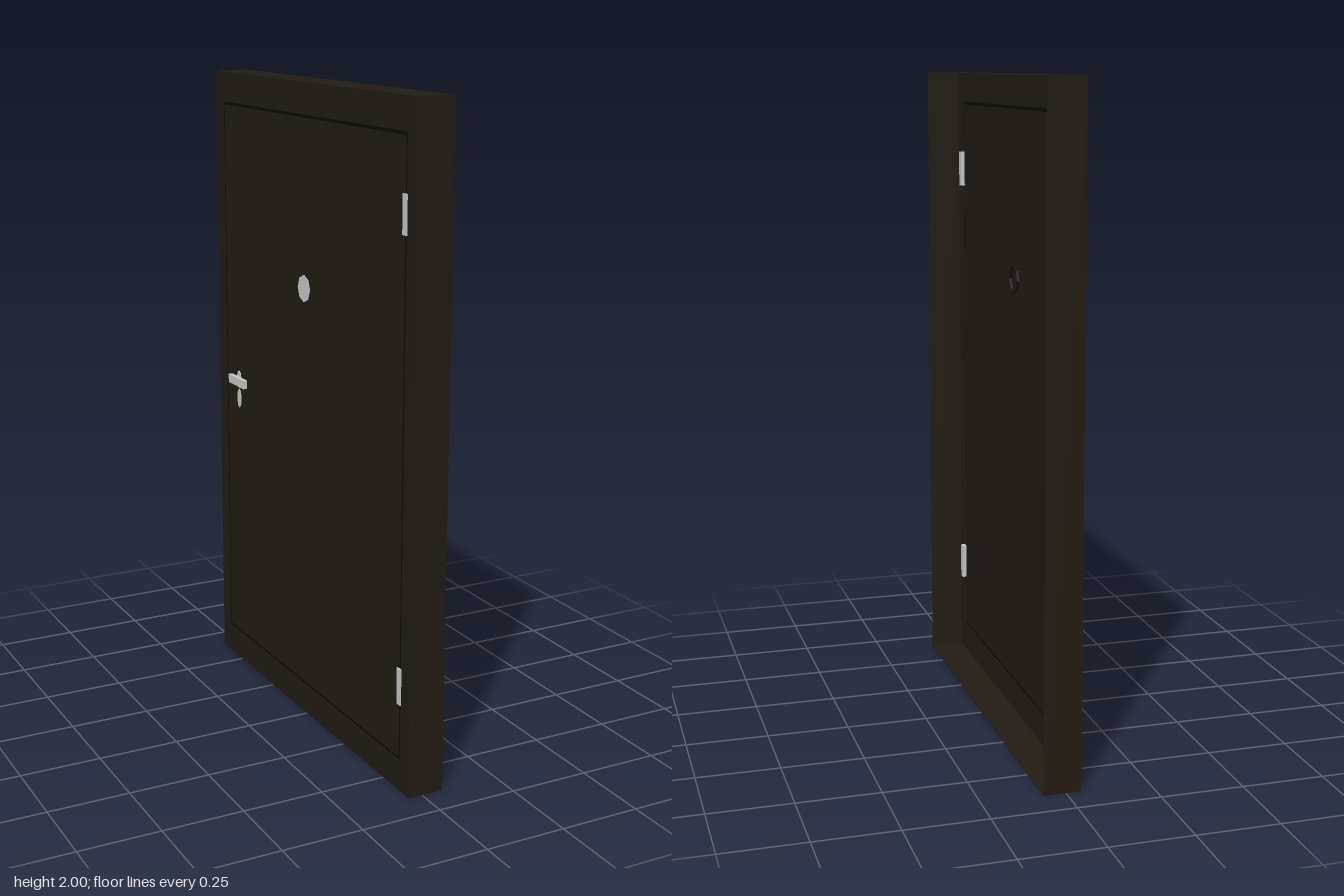
import * as THREE from 'three';

const mat = (color, side = THREE.FrontSide) =>
  new THREE.MeshStandardMaterial({ color, side, flatShading: true });

export function createModel() {
  const model = new THREE.Group();
  // Worked in door space: X across the door, Y up, Z out of the handle side
  const door = new THREE.Group();
  door.name = 'door';
  door.rotation.y = -Math.PI / 2;
  model.add(door);

  const frameMat = mat(0x231c13);
  const panelMat = mat(0x231b15);
  const grooveMat = mat(0x0e0b08);
  const sleeveMat = mat(0x17130e, THREE.DoubleSide);
  const metal = mat(0xcccccc);

  const FACE = 0.045, BACK = -0.067, THICK = 0.006;

  function add(name, geometry, material, x, y, z) {
    const mesh = new THREE.Mesh(geometry, material);
    mesh.name = name;
    mesh.position.set(x, y, z);
    door.add(mesh);
    return mesh;
  }
  const box = (name, material, w, h, d, x, y, z) =>
    add(name, new THREE.BoxGeometry(w, h, d), material, x, y, z);

  // Rectangular ring centred on the door, extruded from z by depth
  function ring(name, material, w, h, innerW, innerH, depth, z) {
    const rect = (Type, a, b) => new Type([
      new THREE.Vector2(-a / 2, -b / 2), new THREE.Vector2(a / 2, -b / 2),
      new THREE.Vector2(a / 2, b / 2), new THREE.Vector2(-a / 2, b / 2)]);
    const shape = rect(THREE.Shape, w, h);
    shape.holes.push(rect(THREE.Path, innerW, innerH));
    add(name, new THREE.ExtrudeGeometry(shape, { depth, bevelEnabled: false }),
      material, 0, 1, z);
  }

  // Deep casing, open at the back, with a flat face border
  ring('casing', frameMat, 1.3, 2, 1.294, 1.994, FACE - BACK, BACK);
  ring('frameFace', frameMat, 1.296, 1.996, 1.19, 1.81, THICK, FACE - THICK);

  // Door leaf and the dark gap around it
  ring('gap', grooveMat, 1.192, 1.812, 1.168, 1.788, 0.002, FACE - 0.004);
  box('doorPanel', panelMat, 1.17, 1.79, THICK, 0, 1, FACE - THICK / 2);

  // Hinges, showing on both sides
  for (const y of [0.325, 1.685])
    box('hinge', metal, 0.022, 0.112, 0.022, 0.588, y, 0.037);

  // Flat plate on the handle side with a matching shallow sleeve behind
  function plate(name, rx, ry, sides, x, y) {
    const disc = new THREE.CylinderGeometry(1, 1, 0.004, sides).rotateX(Math.PI / 2);
    add(name, disc, metal, x, y, FACE).scale.set(rx, ry, 1);
    const tube = new THREE.CylinderGeometry(1, 1, 0.008, sides, 1, true).rotateX(Math.PI / 2);
    add(name + 'Sleeve', tube, sleeveMat, x, y, FACE - THICK - 0.004).scale.set(rx, ry, 1);
  }
  plate('peephole', 0.04, 0.042, 8, -0.015, 1.385);
  plate('handleRose', 0.017, 0.03, 8, -0.495, 1);
  plate('keyholeCover', 0.015, 0.033, 8, -0.495, 0.935);

  // Lever handle outside, latch block inside
  box('handleStem', metal, 0.015, 0.02, 0.018, -0.497, 1, FACE + 0.008);
  box('handleLever', metal, 0.116, 0.028, 0.014, -0.471, 1, 0.062);
  box('latchBlock', metal, 0.028, 0.05, 0.016, -0.495, 1, FACE - 0.012);

  return model;
}
